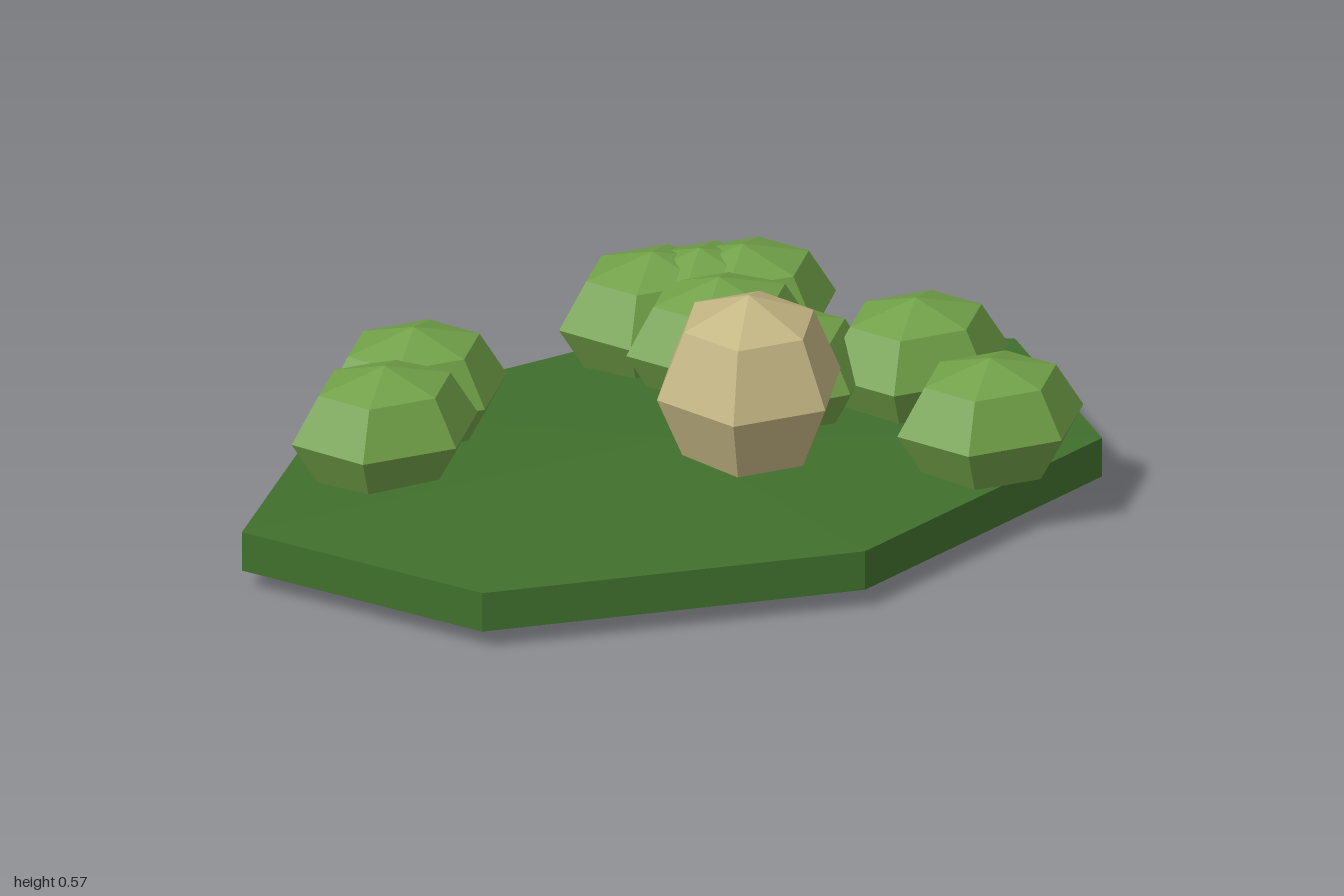
import * as THREE from 'three';

const green = new THREE.MeshStandardMaterial({ color: 0x71a148 });
green.name = 'bush green';
const darkGreen = new THREE.MeshStandardMaterial({ color: 0x40702d });
darkGreen.name = 'grass green';
const tan = new THREE.MeshStandardMaterial({ color: 0xc3b582 });
tan.name = 'sandstone tan';

// Faceted low-poly ellipsoid; non-indexed so every face keeps its own normal
function facetedBlob(name, material, sides, rings, [rx, ry, rz], [x, y, z]) {
  const geometry = new THREE.SphereGeometry(1, sides, rings).scale(rx, ry, rz).toNonIndexed();
  geometry.computeVertexNormals();
  const mesh = new THREE.Mesh(geometry, material);
  mesh.name = name;
  mesh.position.set(x, y, z);
  return mesh;
}

export function createModel() {
  const group = new THREE.Group();
  group.name = 'grassPatch';

  // Seven-sided ground slab with shallow cones above and below
  group.add(facetedBlob('ground', darkGreen, 7, 3, [1.215, 0.098, 0.723], [0.052, 0.098, 0.01]));

  // Boulder
  group.add(facetedBlob('boulder', tan, 6, 4, [0.225, 0.227, 0.22], [0.21, 0.34, 0.09]));

  // Bushes as x, z centres
  const bushes = [
    [0.713, 0.315], [0.667, -0.033],
    [-0.587, -0.152], [-0.453, -0.312],
    [0.35, -0.078], [0.288, -0.293],
    [0.193, -0.47], [0.4, -0.43], [0.3, -0.447],
  ];
  bushes.forEach(([x, z], i) => {
    group.add(facetedBlob(`bush${i + 1}`, green, 6, 4, [0.228, 0.16, 0.179], [x, 0.26, z]));
  });

  return group;
}
